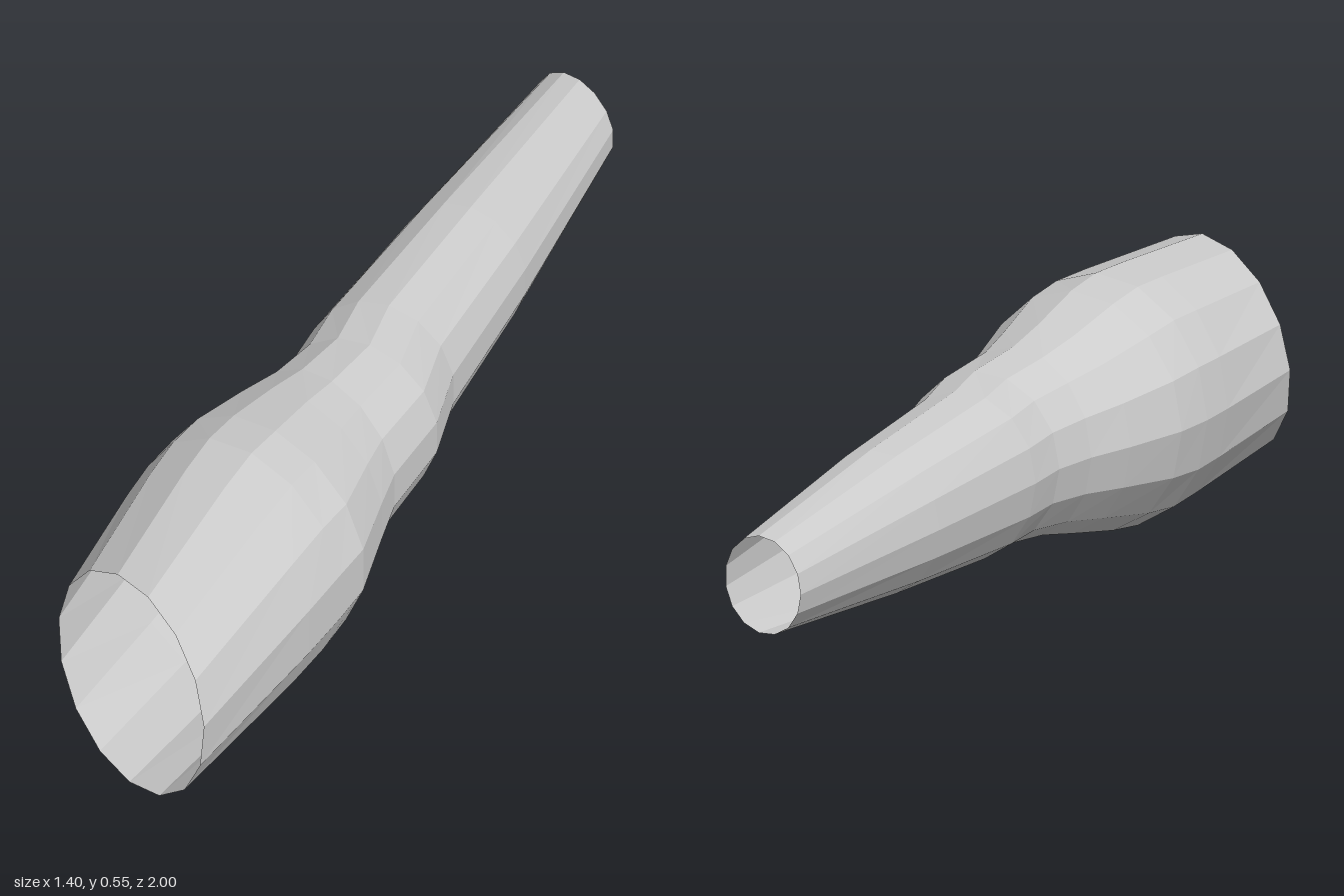
import * as THREE from 'three';

const SIDES = 15;

// Cross-sections from the narrow back end to the wide front end:
// [right edge x, z, left edge x, z, half height, centre y, forward tilt]
const SECTIONS = [
  [-0.70, -0.96, -0.48, -1.00, 0.108, 0.277, 0],
  [-0.45, -0.41, -0.19, -0.55, 0.160, 0.277, 0],
  [-0.265, -0.02, 0.02, -0.20, 0.187, 0.277, 0],
  [-0.20, 0.09, 0.135, -0.07, 0.193, 0.277, 0],
  [-0.165, 0.20, 0.23, 0.115, 0.207, 0.277, 0],
  [-0.145, 0.32, 0.30, 0.20, 0.230, 0.277, 0],
  [-0.11, 0.48, 0.415, 0.335, 0.264, 0.278, 0],
  [-0.065, 0.58, 0.46, 0.43, 0.278, 0.277, 0],
  [-0.015, 0.67, 0.52, 0.56, 0.272, 0.277, 0],
  [0.155, 0.96, 0.705, 0.985, 0.239, 0.279, 0.025],
];

// Skins a row of elliptical rings into an open tube
function loftTube(sections) {
  const positions = [];
  const indices = [];
  sections.forEach(([x0, z0, x1, z1, h, cy, tilt], i) => {
    for (let j = 0; j < SIDES; j++) {
      const a = Math.PI + (j / SIDES) * Math.PI * 2;
      const c = Math.cos(a), s = Math.sin(a);
      positions.push(
        (x0 + x1) / 2 + ((x1 - x0) / 2) * c,
        cy + h * s,
        (z0 + z1) / 2 + ((z1 - z0) / 2) * c - tilt * s
      );
      if (i === sections.length - 1) continue;
      const p = i * SIDES + j;
      const q = i * SIDES + ((j + 1) % SIDES);
      indices.push(p, q, p + SIDES, q, q + SIDES, p + SIDES);
    }
  });
  const geometry = new THREE.BufferGeometry();
  geometry.setAttribute('position', new THREE.Float32BufferAttribute(positions, 3));
  geometry.setIndex(indices);
  geometry.computeVertexNormals();
  return geometry;
}

export function createModel() {
  const group = new THREE.Group();
  // Bent, hollow sleeve open at both ends
  const sleeve = new THREE.Mesh(
    loftTube(SECTIONS),
    new THREE.MeshStandardMaterial({ color: 0xcccccc, flatShading: true, side: THREE.DoubleSide })
  );
  sleeve.name = 'sleeve';
  group.add(sleeve);
  return group;
}
